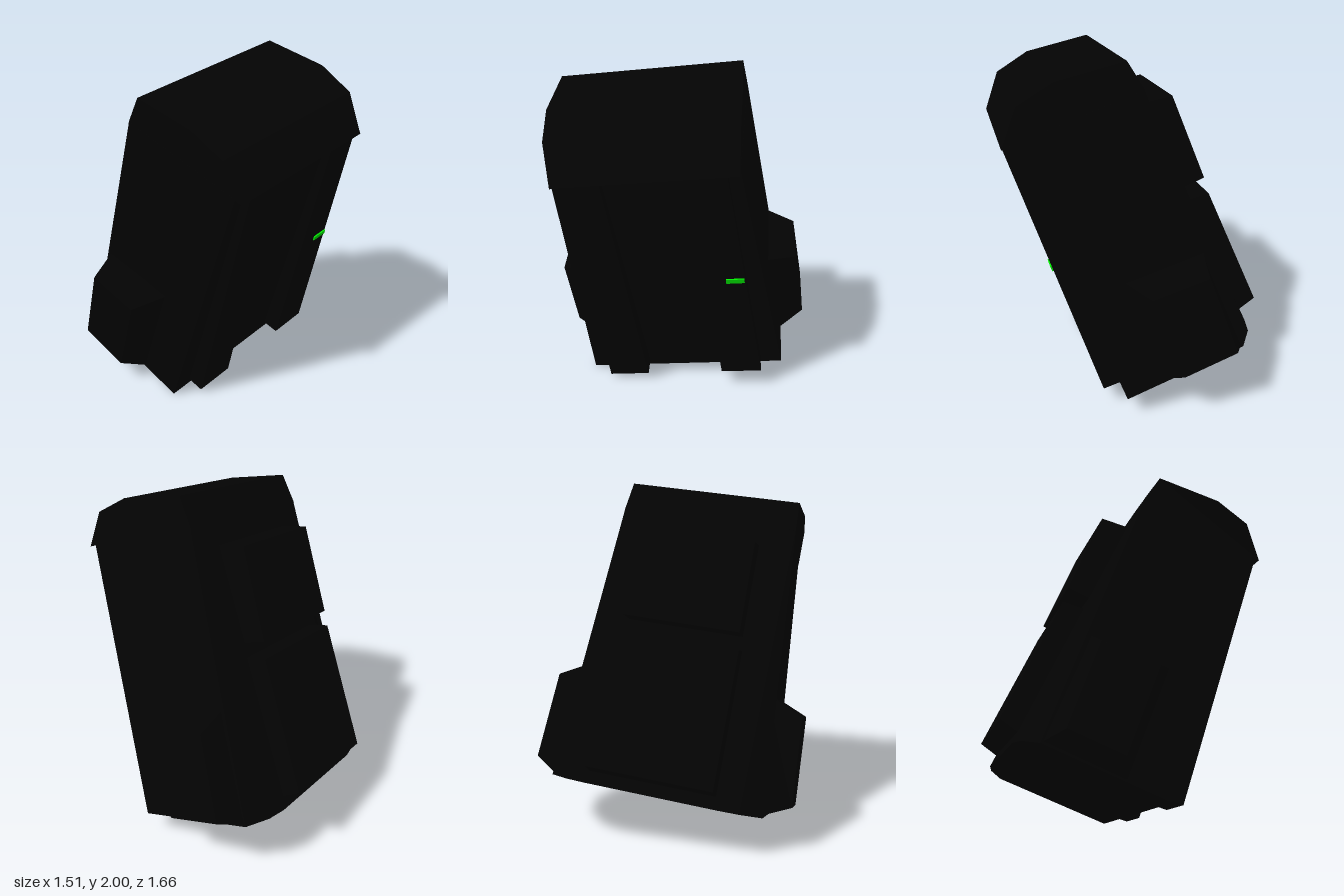
import * as THREE from 'three';

const black = new THREE.MeshStandardMaterial({ color: 0x030303, flatShading: true });
black.name = 'black';
const green = new THREE.MeshStandardMaterial({ color: 0x00ec00, flatShading: true });
green.name = 'signal green';

// Solid between two matching polygons, turned outwards whatever their order
function loft(name, a, b) {
  const tris = [];
  const n = a.length;
  for (let i = 0; i < n; i++) {
    const j = (i + 1) % n;
    tris.push([a[i], a[j], b[j]], [a[i], b[j], b[i]]);
  }
  for (let i = 1; i < n - 1; i++) {
    tris.push([a[0], a[i + 1], a[i]], [b[0], b[i], b[i + 1]]);
  }
  const vec = (p) => new THREE.Vector3(...p);
  const origin = vec(a[0]);
  let volume = 0;
  for (const [p, q, r] of tris) {
    volume += vec(p).sub(origin).dot(vec(q).sub(origin).cross(vec(r).sub(origin)));
  }
  const points = tris.flatMap((t) => (volume < 0 ? [t[0], t[2], t[1]] : t));
  const geometry = new THREE.BufferGeometry();
  geometry.setAttribute('position', new THREE.Float32BufferAttribute(points.flat(), 3));
  geometry.computeVertexNormals();
  const mesh = new THREE.Mesh(geometry, black);
  mesh.name = name;
  return mesh;
}

// Symmetric solid from a side profile of [z, y, half width]
function symmetric(name, profile) {
  return loft(name,
    profile.map(([z, y, w]) => [-w, y, z]),
    profile.map(([z, y, w]) => [w, y, z]));
}

// Symmetric level outline at height y from [half width, z], front to back
function outline(y, half) {
  const side = (s) => half.map(([w, z]) => [s * w, y, z]);
  return [...side(1), ...side(-1).reverse()];
}

export function createModel() {
  const group = new THREE.Group();
  group.name = 'backpack';
  const pack = new THREE.Group();
  pack.name = 'tiltedPack';
  group.add(pack);

  // Main bag, wider and deeper at the bottom, with bevelled back corners
  pack.add(loft('body',
    outline(0.095, [[0.595, 0.104], [0.605, -0.62], [0.49, -0.7], [0.38, -0.725]]),
    outline(1.69, [[0.475, 0.13], [0.507, -0.598], [0.42, -0.601], [0.3, -0.602]])));

  // Folded top flap
  pack.add(symmetric('topFlap', [
    [0.175, 1.685, 0.473], [0.025, 1.863, 0.49], [-0.19, 1.905, 0.5],
    [-0.565, 1.858, 0.497], [-0.601, 1.685, 0.507],
  ]));

  // Back pockets
  pack.add(symmetric('upperBackPocket', [
    [-0.58, 1.035, 0.33], [-0.782, 1.038, 0.33], [-0.764, 1.545, 0.32], [-0.58, 1.575, 0.32],
  ]));
  pack.add(symmetric('lowerBackPocket', [
    [-0.6, 0.135, 0.358], [-0.83, 0.19, 0.352], [-0.775, 0.945, 0.342], [-0.6, 0.965, 0.342],
  ]));

  // Side pouches and shoulder straps, mirrored
  for (const s of [-1, 1]) {
    const mirror = (points) => points.map(([x, y, z]) => [s * x, y, z]);
    pack.add(loft('sidePouch',
      mirror([[0.58, 0.1, -0.145], [0.52, 0.775, -0.12], [0.52, 0.755, -0.6], [0.58, 0.1, -0.62]]),
      mirror([[0.742, 0.175, -0.23], [0.717, 0.688, -0.222], [0.717, 0.665, -0.55], [0.745, 0.175, -0.55]])));
    pack.add(loft('shoulderStrap',
      mirror([[0.23, 0.13, 0.07], [0.47, 0.13, 0.07], [0.47, 0.14, 0.205], [0.23, 0.14, 0.205]]),
      mirror([[0.22, 1.69, 0.07], [0.41, 1.69, 0.07], [0.41, 1.69, 0.17], [0.22, 1.69, 0.17]])));
  }

  // Small signal bar on the left strap
  const bar = new THREE.Mesh(new THREE.BoxGeometry(0.1, 0.03, 0.009), green);
  bar.name = 'signalBar';
  bar.position.set(0.385, 0.959, 0.19);
  pack.add(bar);

  // Lean and turn the whole pack
  const right = new THREE.Vector3(0.94, 0.118, -0.32).normalize();
  const up = new THREE.Vector3(0, 0.941, 0.339).normalize();
  const front = right.clone().cross(up).normalize();
  up.crossVectors(front, right);
  pack.quaternion.setFromRotationMatrix(new THREE.Matrix4().makeBasis(right, up, front));
  pack.position.copy(right).multiplyScalar(0.14);
  return group;
}
